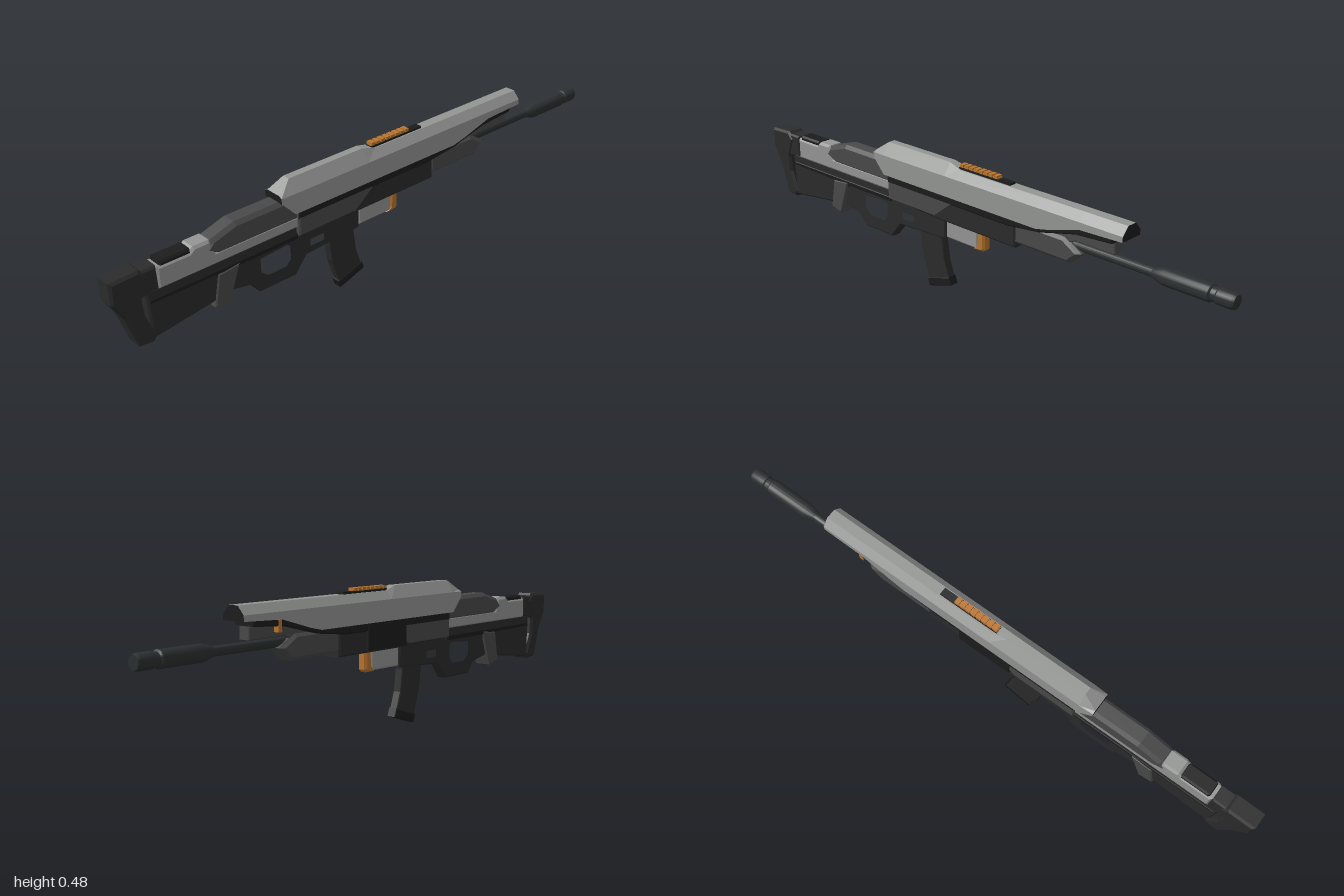
import * as THREE from 'three';
import { toCreasedNormals } from 'three/addons/utils/BufferGeometryUtils.js';

const makeMaterial = (name, color) => {
  const m = new THREE.MeshStandardMaterial({ color });
  m.name = name;
  return m;
};

export function createModel() {
  const light = makeMaterial('lightGrey', 0x949694);
  const mid = makeMaterial('midGrey', 0x4a4a4a);
  const dark = makeMaterial('darkGrey', 0x2b2b2b);
  const black = makeMaterial('black', 0x1c1c1c);
  const steel = makeMaterial('gunSteel', 0x2c3030);
  const orange = makeMaterial('orange', 0xb9752f);

  const model = new THREE.Group();
  model.name = 'rifle';

  const add = (name, geometry, material, x = 0, y = 0, z = 0) => {
    const mesh = new THREE.Mesh(geometry, material);
    mesh.name = name;
    mesh.position.set(x, y, z);
    model.add(mesh);
    return mesh;
  };
  const box = (name, material, x0, x1, y0, y1, z0, z1) =>
    add(name, new THREE.BoxGeometry(x1 - x0, y1 - y0, z1 - z0), material,
      (x0 + x1) / 2, (y0 + y1) / 2, (z0 + z1) / 2);
  const outline = (pts) => pts.map(([x, y]) => new THREE.Vector2(x, y));

  // Side profile extruded across z, with chamfered edges inside the outline
  const slab = (name, material, half, bevel, pts, holes = []) => {
    const shape = new THREE.Shape(outline(pts));
    holes.forEach((h) => shape.holes.push(new THREE.Path(outline(h))));
    const g = new THREE.ExtrudeGeometry(shape, {
      depth: 2 * (half - bevel), bevelEnabled: bevel > 0, bevelThickness: bevel,
      bevelSize: bevel, bevelOffset: -bevel, bevelSegments: 1,
    });
    g.translate(0, 0, -(half - bevel));
    return add(name, g, material);
  };

  // Round parts turned around the barrel axis, profile as [x, radius]
  const turned = (name, material, pts) => {
    const g = new THREE.LatheGeometry(pts.map(([x, r]) => new THREE.Vector2(r, x)), 20);
    g.rotateZ(-Math.PI / 2);
    return add(name, toCreasedNormals(g, 0.5), material, 0, 0.34, 0);
  };

  // Top shell: six-sided cross-sections [x, top, topHalf, bottom, half]
  const stations = [
    [-0.415, 0.442, 0.028, 0.418, 0.04],
    [-0.365, 0.477, 0.013, 0.366, 0.042],
    [-0.07, 0.477, 0.013, 0.366, 0.042],
    [-0.02, 0.463, 0.018, 0.366, 0.042],
    [0.32, 0.463, 0.018, 0.366, 0.042],
    [0.37, 0.463, 0.018, 0.377, 0.042],
    [0.49, 0.463, 0.018, 0.412, 0.042],
    [0.645, 0.463, 0.018, 0.418, 0.042],
  ];
  const loops = stations.map(([x, t, h, b, w]) => [
    [x, b, w], [x, 0.436, w], [x, t, h], [x, t, -h], [x, 0.436, -w], [x, b, -w],
  ]);
  const skin = [], under = [];
  for (let i = 0; i < loops.length - 1; i++) {
    for (let j = 0; j < 6; j++) {
      const k = (j + 1) % 6, a = loops[i], b = loops[i + 1];
      (j === 5 ? under : skin).push(a[j], b[j], b[k], a[j], b[k], a[k]);
    }
  }
  const last = loops[loops.length - 1];
  for (let j = 1; j < 5; j++) {
    under.push(loops[0][0], loops[0][j], loops[0][j + 1], last[0], last[j + 1], last[j]);
  }
  const faces = (name, corners, material) => {
    const g = new THREE.BufferGeometry();
    g.setAttribute('position', new THREE.Float32BufferAttribute(corners.flat(), 3));
    g.computeVertexNormals();
    add(name, g, material);
  };
  faces('topShell', skin, light);
  faces('shellUnderside', under, black);

  // Body below the shell
  slab('upperBody', black, 0.039, 0.004, [[-0.35, 0.385], [0.31, 0.385], [0.37, 0.395],
    [0.49, 0.425], [0.605, 0.425], [0.605, 0.4], [0.47, 0.39], [0.33, 0.355],
    [0.2, 0.34], [-0.35, 0.34]]);
  slab('frontBlock', mid, 0.021, 0.003, [[0.3, 0.4], [0.605, 0.4], [0.605, 0.36],
    [0.46, 0.36], [0.42, 0.34], [0.3, 0.34]]);
  box('frontSight', orange, 0.49, 0.505, 0.375, 0.412, -0.04, -0.022);

  // Receiver with side panels
  slab('receiver', dark, 0.033, 0.006, [[-0.35, 0.36], [0.23, 0.36], [0.23, 0.27],
    [-0.12, 0.27], [-0.35, 0.28]]);
  slab('receiverPanel', mid, 0.038, 0.004, [[-0.35, 0.368], [-0.01, 0.368], [-0.05, 0.335],
    [-0.12, 0.28], [-0.35, 0.28]]);
  box('sideCover', black, -0.1, 0.1, 0.277, 0.36, -0.041, -0.03);

  // Forend and light box
  slab('forend', mid, 0.031, 0.012, [[0.22, 0.365], [0.42, 0.365], [0.485, 0.325],
    [0.44, 0.283], [0.22, 0.283]]);
  slab('lampHousing', light, 0.017, 0.006, [[-0.09, 0.28], [0.055, 0.28], [0.055, 0.206],
    [-0.09, 0.206]]);
  slab('lampFront', orange, 0.0175, 0.007, [[0.055, 0.275], [0.084, 0.275], [0.084, 0.212],
    [0.076, 0.203], [0.035, 0.203], [0.05, 0.222]]);

  // Barrel and muzzle
  turned('barrel', steel, [[0.3, 0], [0.3, 0.015], [0.76, 0.015], [0.76, 0]]);
  turned('muzzle', steel, [[0.73, 0], [0.73, 0.016], [0.77, 0.027], [0.92, 0.027],
    [0.925, 0.022], [0.94, 0.022], [0.945, 0.025], [0.99, 0.025], [1, 0.021], [1, 0]]);

  // Rail with raised teeth
  box('rail', black, -0.03, 0.19, 0.455, 0.47, -0.013, 0.013);
  for (let i = 0; i < 8; i++) {
    const x = -0.028 + i * 0.021;
    box('railTooth', orange, x, x + 0.015, 0.466, 0.48, -0.012, 0.012);
  }
  box('railStrip', orange, -0.03, 0.137, 0.468, 0.474, -0.01, 0.01);

  // Stock
  slab('stockBody', dark, 0.028, 0.006, [[-0.89, 0.315], [-0.35, 0.315], [-0.35, 0.265],
    [-0.575, 0.265], [-0.62, 0.185], [-0.88, 0.152]]);
  slab('stockRecess', black, 0.03, 0.003, [[-0.88, 0.285], [-0.35, 0.285], [-0.35, 0.268],
    [-0.6, 0.268], [-0.88, 0.272]]);
  slab('stockPanel', light, 0.031, 0.008, [[-0.85, 0.306], [-0.345, 0.306], [-0.345, 0.35],
    [-0.65, 0.35], [-0.67, 0.395], [-0.725, 0.395], [-0.74, 0.382], [-0.85, 0.382]]);
  slab('cheekRest', mid, 0.034, 0.012, [[-0.69, 0.362], [-0.665, 0.393], [-0.58, 0.419],
    [-0.39, 0.419], [-0.345, 0.366], [-0.345, 0.336], [-0.64, 0.336]]);
  slab('cheekPad', black, 0.027, 0.006, [[-0.84, 0.375], [-0.835, 0.394], [-0.735, 0.394],
    [-0.73, 0.375]]);
  slab('stockStrap', mid, 0.033, 0.004, [[-0.65, 0.27], [-0.573, 0.278], [-0.617, 0.15],
    [-0.67, 0.163]]);
  slab('buttLink', dark, 0.03, 0.006, [[-0.92, 0.388], [-0.85, 0.388], [-0.845, 0.31],
    [-0.92, 0.3]]);
  slab('buttPad', dark, 0.034, 0.008, [[-1, 0.392], [-0.905, 0.396], [-0.88, 0.37],
    [-0.905, 0.3], [-0.9, 0.24], [-0.868, 0.165], [-0.88, 0.145], [-0.93, 0.15],
    [-0.945, 0.2], [-0.965, 0.26], [-1, 0.32]]);

  // Grip frame with two openings
  slab('gripFrame', dark, 0.02, 0.005, [[-0.6, 0.29], [-0.09, 0.29], [-0.09, 0.2],
    [-0.22, 0.193], [-0.31, 0.188], [-0.355, 0.132], [-0.495, 0.132], [-0.53, 0.172],
    [-0.61, 0.188]],
  [[[-0.495, 0.255], [-0.385, 0.262], [-0.37, 0.25], [-0.37, 0.2], [-0.39, 0.176],
    [-0.465, 0.176], [-0.495, 0.2]],
  [[-0.3, 0.245], [-0.235, 0.245], [-0.235, 0.21], [-0.3, 0.21]]]);

  // Curved magazine
  slab('magazine', dark, 0.016, 0.003, [[-0.215, 0.25], [-0.215, 0.19], [-0.205, 0.115],
    [-0.172, 0.018], [-0.077, 0.048], [-0.1, 0.115], [-0.11, 0.19], [-0.11, 0.25]]);
  slab('magazineBase', black, 0.018, 0.003, [[-0.182, 0.028], [-0.172, 0], [-0.068, 0.034],
    [-0.078, 0.062]]);
  return model;
}
